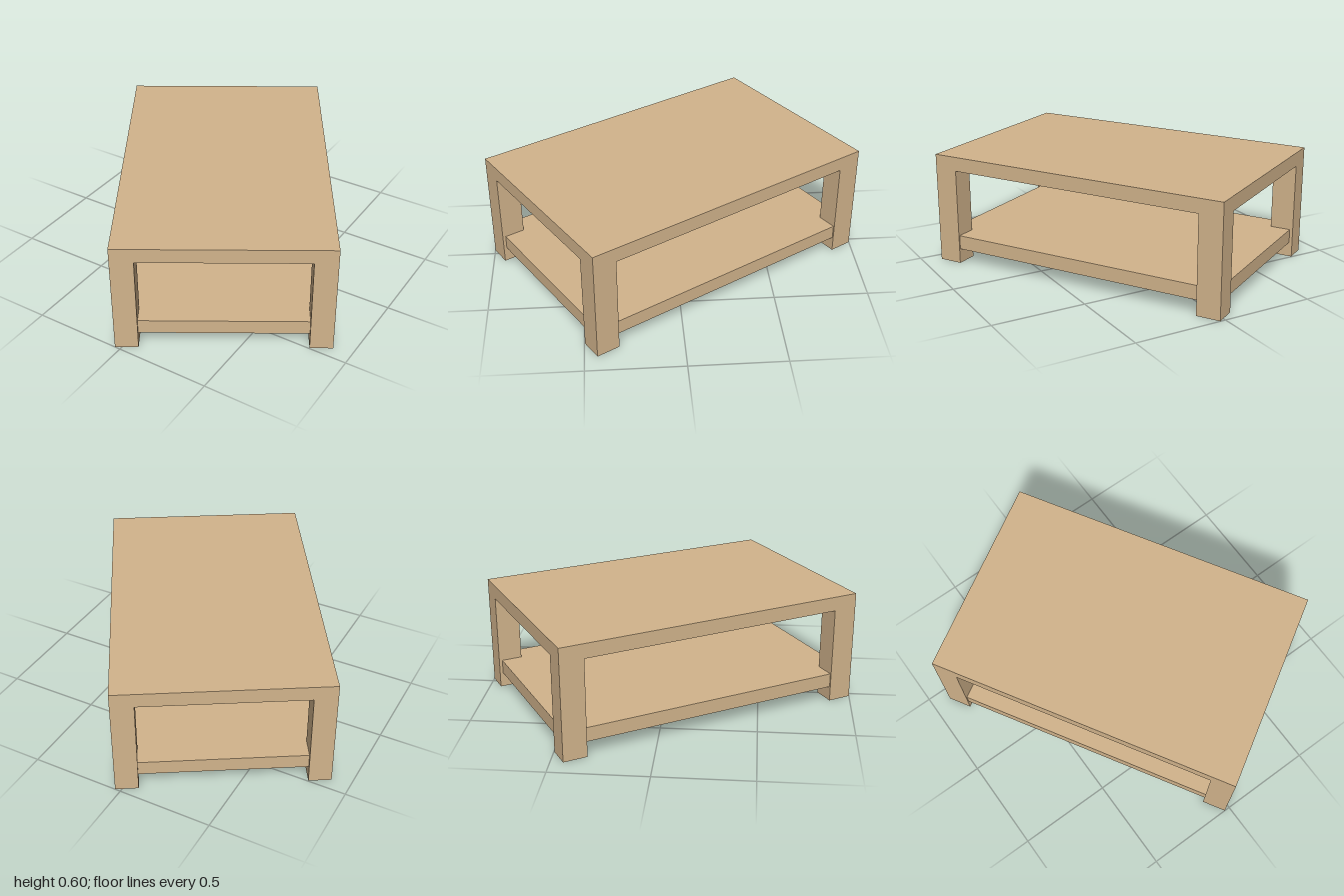
import * as THREE from 'three';

const WIDTH = 1.088, LENGTH = 1.678, HEIGHT = 0.6, THICKNESS = 0.077;
const LEG_W = 0.118, LEG_L = 0.128;

export function createModel() {
  const model = new THREE.Group();
  model.name = 'coffeeTable';
  const wood = new THREE.MeshStandardMaterial({ color: 0xd2b48c });
  wood.name = 'tan wood';

  const addBox = (name, w, h, l, x, y, z) => {
    const mesh = new THREE.Mesh(new THREE.BoxGeometry(w, h, l), wood);
    mesh.name = name;
    mesh.position.set(x, y, z);
    table.add(mesh);
  };

  // The whole table stands turned about the vertical axis
  const table = new THREE.Group();
  table.name = 'table';
  table.rotation.y = 0.545;
  model.add(table);

  // Thick slab top, flush with the legs
  addBox('tableTop', WIDTH, THICKNESS, LENGTH, 0, HEIGHT - THICKNESS / 2, 0);

  // Low shelf, slightly inset from the outer faces
  addBox('shelf', WIDTH - 0.014, 0.076, LENGTH - 0.034, 0, 0.118, 0);

  // Four corner legs
  const legHeight = HEIGHT - THICKNESS;
  for (const sx of [-1, 1]) {
    for (const sz of [-1, 1]) {
      const name = (sz > 0 ? 'front' : 'back') + (sx > 0 ? 'Left' : 'Right') + 'Leg';
      addBox(name, LEG_W, legHeight, LEG_L,
        sx * (WIDTH - LEG_W) / 2, legHeight / 2, sz * (LENGTH - LEG_L) / 2);
    }
  }
  return model;
}
